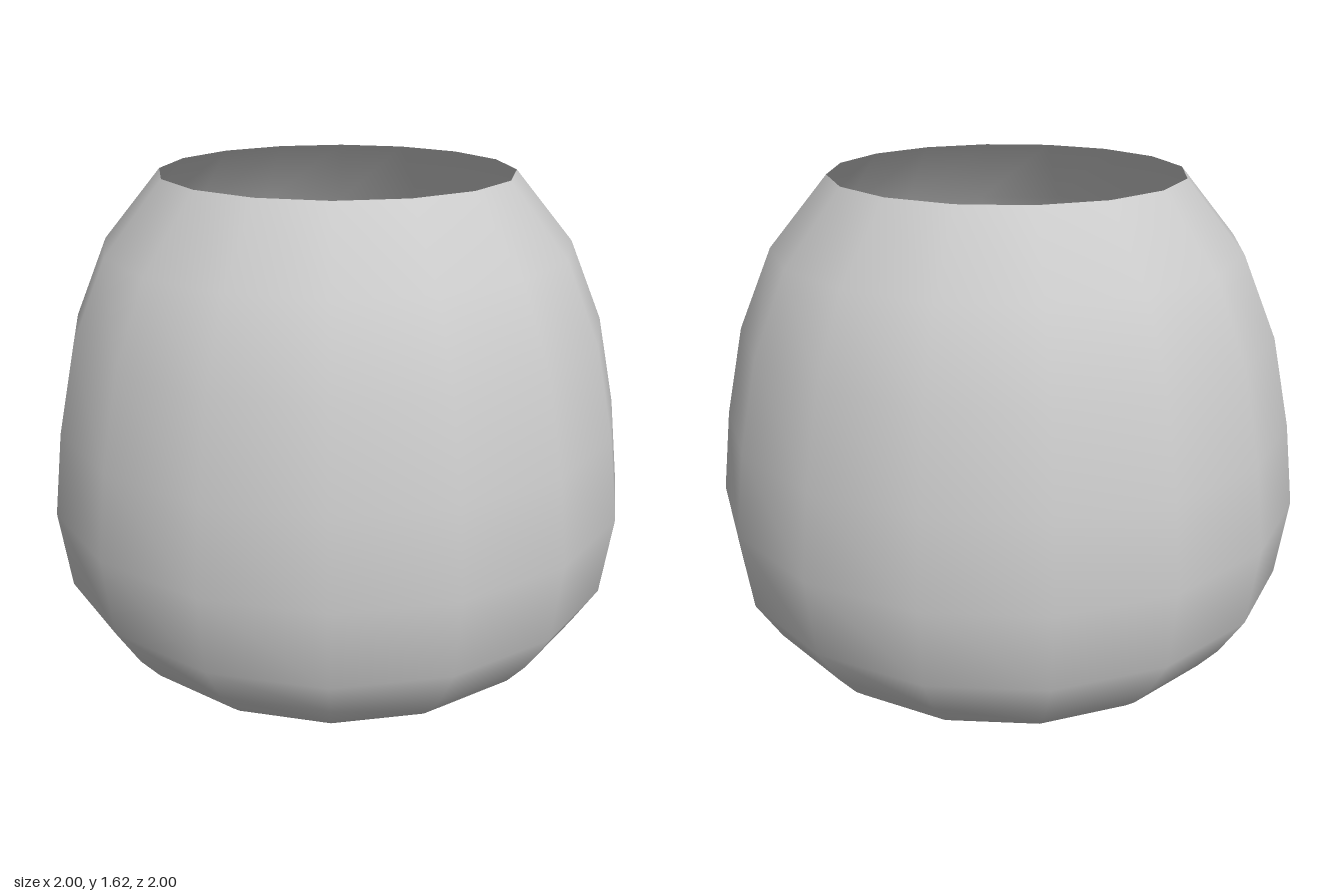
import * as THREE from 'three';

const SIDES = 16;

// Smooth 16-sided ring swept from a list of [radius, height] points
function turned(name, profile, material) {
  const points = profile.map(([r, y]) => new THREE.Vector2(r, y));
  const mesh = new THREE.Mesh(new THREE.LatheGeometry(points, SIDES), material);
  mesh.name = name;
  return mesh;
}

export function createModel() {
  const group = new THREE.Group();
  group.name = 'openShade';
  const material = new THREE.MeshStandardMaterial({ color: 0xcccccc, side: THREE.DoubleSide });

  // One thin continuous skin: inner funnel, rolled base, then the rounded outer wall
  group.add(turned('shell', [
    // inner funnel, from its free upper edge down to the narrow throat
    [0.61, 0.62], [0.58, 0.45], [0.545, 0.28], [0.52, 0.16], [0.515, 0.1],
    // rolled base
    [0.55, 0.06], [0.61, 0.025], [0.7, 0], [0.77, 0.01],
    // outer wall up to the open top rim
    [0.81, 0.045], [0.88, 0.13], [0.965, 0.27], [1, 0.54],
    [0.965, 0.82], [0.9, 1.12], [0.785, 1.39], [0.59, 1.625],
  ], material));

  return group;
}
